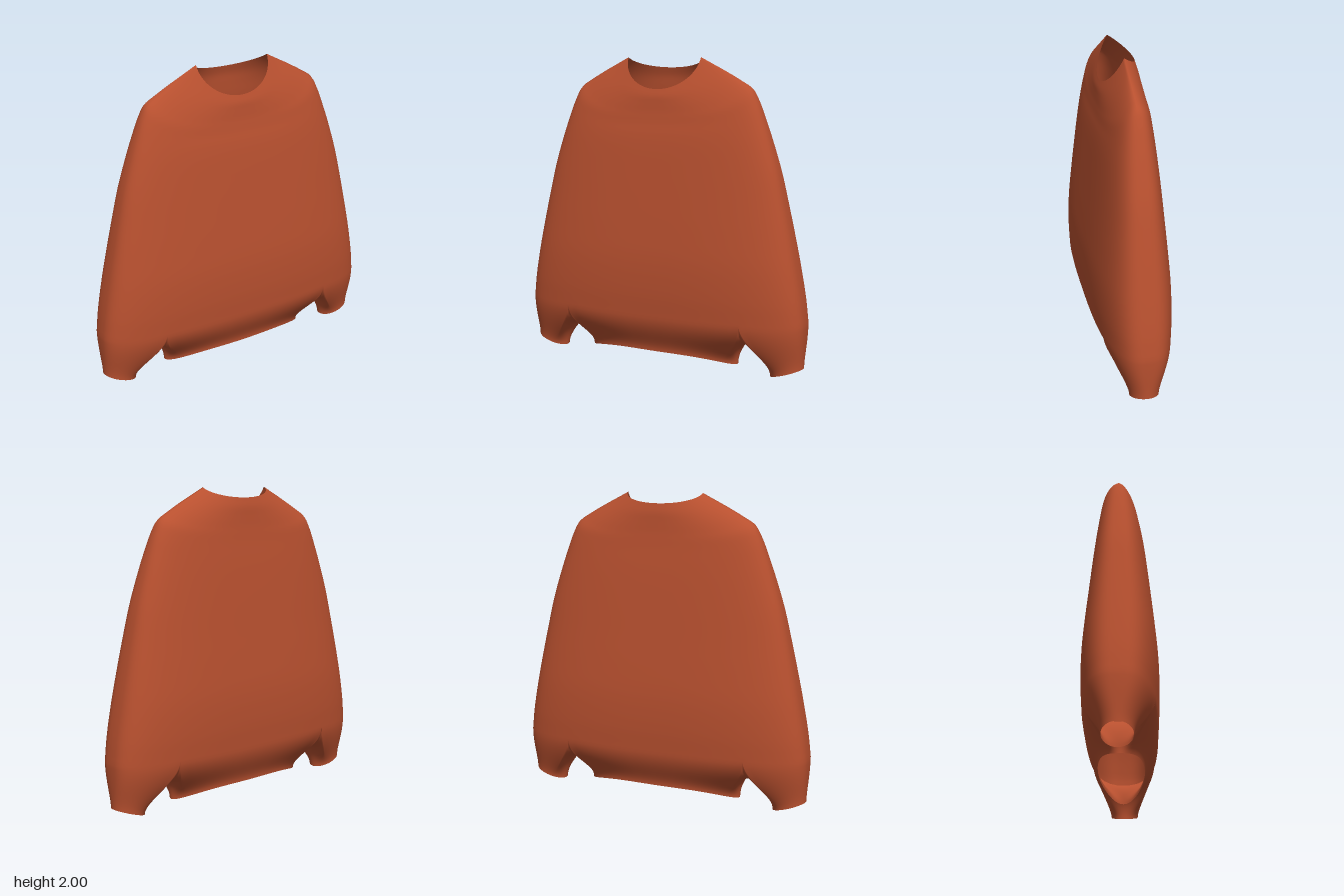
import * as THREE from 'three';
import { mergeVertices } from 'three/addons/utils/BufferGeometryUtils.js';

const V = (x, y, z) => new THREE.Vector3(x, y, z);
const N = 96;          // points around the body
const SPLIT = N / 6;   // where the sleeves part from the torso
const K = 14;          // points across each underarm arch

// Body sections: side height, half width, half depth, front dip, back dip, squareness
const SECTIONS = [
  [0.36, 0.99, 0.232, 0, 0, 3],
  [0.5, 0.972, 0.24, 0, 0, 3],
  [0.7, 0.935, 0.239, 0, 0, 3],
  [0.9, 0.893, 0.223, 0, 0, 3],
  [1.1, 0.848, 0.203, 0, 0, 3],
  [1.3, 0.8, 0.184, 0.02, 0.01, 3],
  [1.5, 0.738, 0.166, 0.06, 0.04, 3],
  [1.63, 0.693, 0.154, 0.11, 0.07, 3],
  [1.74, 0.65, 0.142, 0.16, 0.09, 3],
  [1.81, 0.61, 0.135, 0.185, 0.1, 2.9],
  [1.855, 0.54, 0.13, 0.195, 0.1, 2.7],
  [1.915, 0.43, 0.125, 0.205, 0.095, 2.4],
  [1.96, 0.34, 0.12, 0.205, 0.08, 2.1],
  [2.0, 0.26, 0.106, 0.2, 0.065, 2],
];

function sectionPoint([y, w, d, front, back, n], i) {
  const a = (i / N) * Math.PI * 2, c = Math.cos(a), s = Math.sin(a);
  const p = (v) => Math.sign(v) * Math.abs(v) ** (2 / n);
  return V(w * p(c), y - (s > 0 ? front : back) * Math.abs(s), d * p(s));
}

// Closed strip of loops, listed from bottom to top
function stitch(out, loops) {
  for (let r = 0; r + 1 < loops.length; r++) {
    const lo = loops[r], hi = loops[r + 1], n = lo.length;
    for (let i = 0; i < n; i++) {
      const j = (i + 1) % n;
      for (const p of [lo[i], hi[i], lo[j], lo[j], hi[i], hi[j]]) out.push(p.x, p.y, p.z);
    }
  }
}

// Curved branch from the body's lower edge to an opening
function branch(out, starts, ends, sideways) {
  const steps = 14;
  const curves = starts.map(({ p, arch }, i) => {
    const e = ends[i];
    const dir = Math.sign(e.x - p.x) * sideways;
    return new THREE.CubicBezierCurve3(
      p,
      V(p.x + dir * arch, p.y - 0.12 * (1 - arch), p.z),
      V(e.x, e.y + 0.07, e.z),
      e,
    );
  });
  const loops = [];
  for (let k = steps; k >= 0; k--) loops.push(curves.map((c) => c.getPoint(k / steps)));
  stitch(out, loops);
}

export function createModel() {
  const knit = new THREE.MeshStandardMaterial({ color: 0xb8502f, side: THREE.DoubleSide });
  knit.name = 'rust knit';
  const out = [];

  // Body from the underarm level up to the neckline
  const columns = [];
  for (let i = 0; i < N; i++) {
    columns.push(new THREE.CatmullRomCurve3(SECTIONS.map((s) => sectionPoint(s, i))).getPoints(52));
  }
  stitch(out, columns[0].map((_, r) => columns.map((c) => c[r])));

  const edge = (i) => ({ p: sectionPoint(SECTIONS[0], (i + N) % N), arch: 0 });

  // Underarm arch, from the front of the body to the back
  const archPoints = (side) => {
    const { p } = edge(SPLIT), pts = [];
    for (let k = 1; k < K; k++) {
      const a = (k / K) * Math.PI, s = Math.sin(a);
      pts.push({ p: V(side * p.x, p.y - 0.165 * s, p.z * Math.cos(a)), arch: s });
    }
    return pts;
  };

  // Sleeve ends
  for (const side of [1, -1]) {
    const mid = side > 0 ? 0 : N / 2, base = side > 0 ? 0 : Math.PI;
    const starts = [], ends = [];
    const cuff = (a) => {
      const x = Math.cos(a);
      ends.push(V(side * 0.87 + 0.108 * x, 0.04 + 0.036 * x * side, 0.09 * Math.sin(a)));
    };
    for (let j = -SPLIT; j <= SPLIT; j++) {
      starts.push(edge(mid + j));
      cuff(base + (j / SPLIT) * Math.PI * 2 / 3);
    }
    const arch = archPoints(side);
    if (side < 0) arch.reverse();
    arch.forEach((s, k) => {
      starts.push(s);
      cuff(base + Math.PI * 2 / 3 * (1 + (k + 1) / K));
    });
    branch(out, starts, ends, 0.1);
  }

  // Torso hem
  const starts = [], ends = [];
  const hem = (a) => {
    const x = Math.cos(a);
    ends.push(V(0.535 * x, 0.045 + 0.05 * (1 - Math.abs(x) ** 3), 0.145 * Math.sin(a)));
  };
  const corner = Math.PI / 6, splitX = edge(SPLIT).p.x;
  const panel = (from, sign) => {
    for (let i = from; i <= from + SPLIT; i++) {
      const s = edge(i);
      starts.push(s);
      hem(sign * Math.acos((s.p.x / splitX) * Math.cos(corner)));
    }
  };
  const flank = (pts, from) => pts.forEach((s, k) => {
    starts.push(s);
    hem(from + ((k + 1) / K) * 2 * corner);
  });
  panel(SPLIT, 1);
  flank(archPoints(-1), Math.PI - corner);
  panel(N - 2 * SPLIT, -1);
  flank(archPoints(1).reverse(), -corner);
  branch(out, starts, ends, 0.07);

  // Weld the parts so the knit shades smoothly across the seams
  let geometry = new THREE.BufferGeometry();
  geometry.setAttribute('position', new THREE.Float32BufferAttribute(out, 3));
  geometry = mergeVertices(geometry, 1e-4);
  geometry.computeVertexNormals();

  const sweater = new THREE.Mesh(geometry, knit);
  sweater.name = 'sweater';
  const group = new THREE.Group();
  group.name = 'pullover';
  group.add(sweater);
  return group;
}
